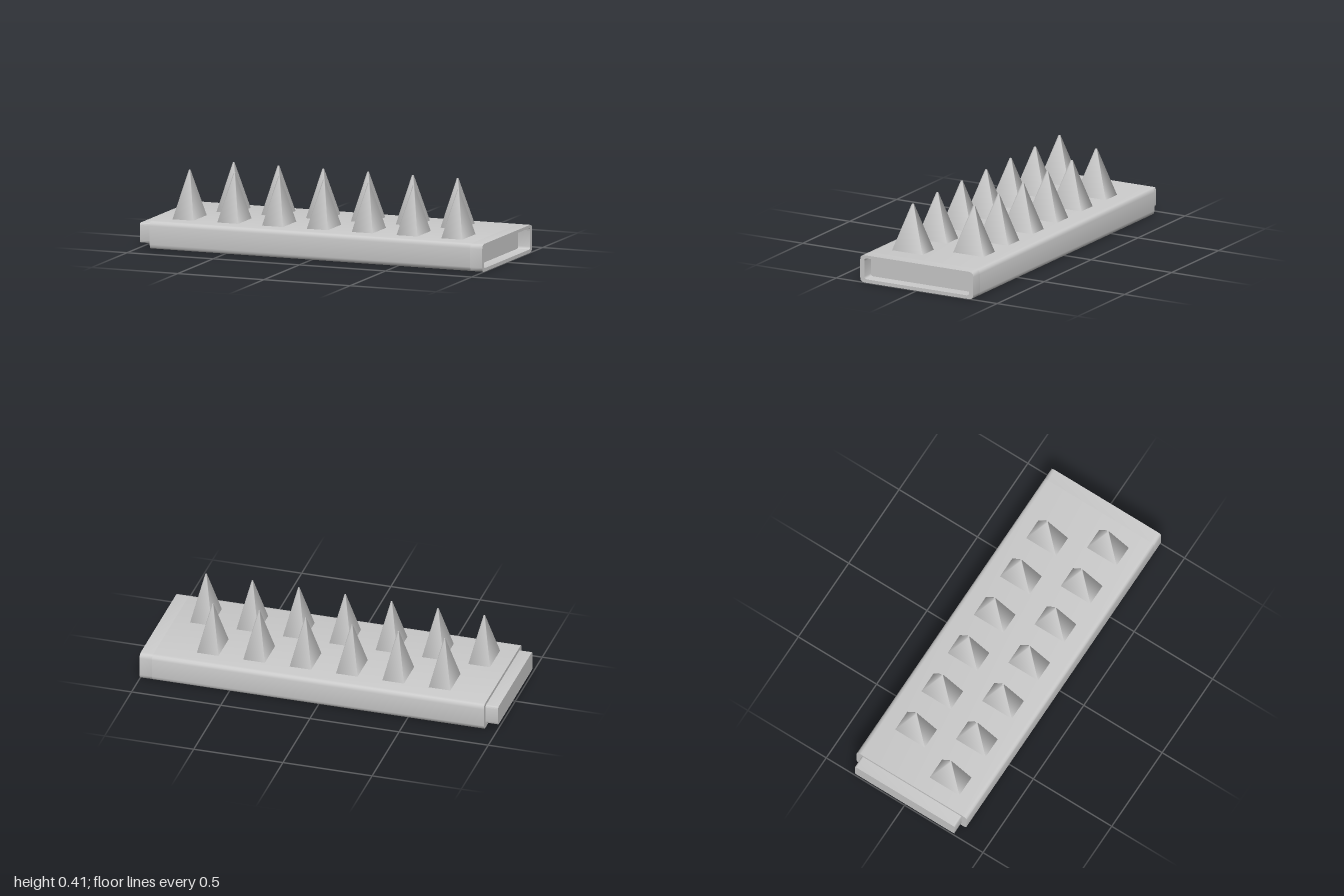
import * as THREE from 'three';
import { toCreasedNormals } from 'three/addons/utils/BufferGeometryUtils.js';

const material = new THREE.MeshStandardMaterial({ color: 0xcccccc });

// Rounded rectangle cross-section, w across z and from y0 to y1
function roundedRect(w, y0, y1, r, Type = THREE.Shape) {
  const h = w / 2, s = new Type();
  s.moveTo(-h + r, y0);
  s.lineTo(h - r, y0);
  s.quadraticCurveTo(h, y0, h, y0 + r);
  s.lineTo(h, y1 - r);
  s.quadraticCurveTo(h, y1, h - r, y1);
  s.lineTo(-h + r, y1);
  s.quadraticCurveTo(-h, y1, -h, y1 - r);
  s.lineTo(-h, y0 + r);
  s.quadraticCurveTo(-h, y0, -h + r, y0);
  return s;
}

// Extrude a cross-section along x
function bar(name, shape, x0, x1) {
  const g = new THREE.ExtrudeGeometry(shape, { depth: x1 - x0, bevelEnabled: false, curveSegments: 3 });
  g.rotateY(Math.PI / 2);
  g.translate(x0, 0, 0);
  const mesh = new THREE.Mesh(toCreasedNormals(g, 0.7), material);
  mesh.name = name;
  return mesh;
}

export function createModel() {
  const model = new THREE.Group();
  model.name = 'spikeStrip';

  // Base with a shallow socket at one end and a matching plug at the other
  const outer = () => roundedRect(0.702, 0, 0.152, 0.026);
  const rim = outer();
  rim.holes.push(roundedRect(0.65, 0.019, 0.136, 0.015, THREE.Path));
  model.add(bar('base', outer(), -0.93, 0.93));
  model.add(bar('socketRim', rim, 0.93, 1));
  model.add(bar('plug', roundedRect(0.636, 0.025, 0.134, 0.012), -1, -0.93));

  // Four-sided tapered spike with soft normals
  const bottom = 0.15, top = 0.411;
  const spike = new THREE.CylinderGeometry(0.05, 1, top - bottom, 4, 1);
  spike.rotateY(Math.PI / 4);
  spike.scale(0.061 * Math.SQRT2, 1, 0.095 * Math.SQRT2);
  spike.translate(0, (top + bottom) / 2, 0);

  // Two staggered rows
  for (const [name, count, z] of [['frontSpikes', 7, 0.152], ['backSpikes', 6, -0.152]]) {
    const row = new THREE.Group();
    row.name = name;
    for (let i = 0; i < count; i++) {
      const mesh = new THREE.Mesh(spike, material);
      mesh.name = 'spike';
      mesh.position.set((i - (count - 1) / 2) * 0.26, 0, z);
      row.add(mesh);
    }
    model.add(row);
  }
  return model;
}
